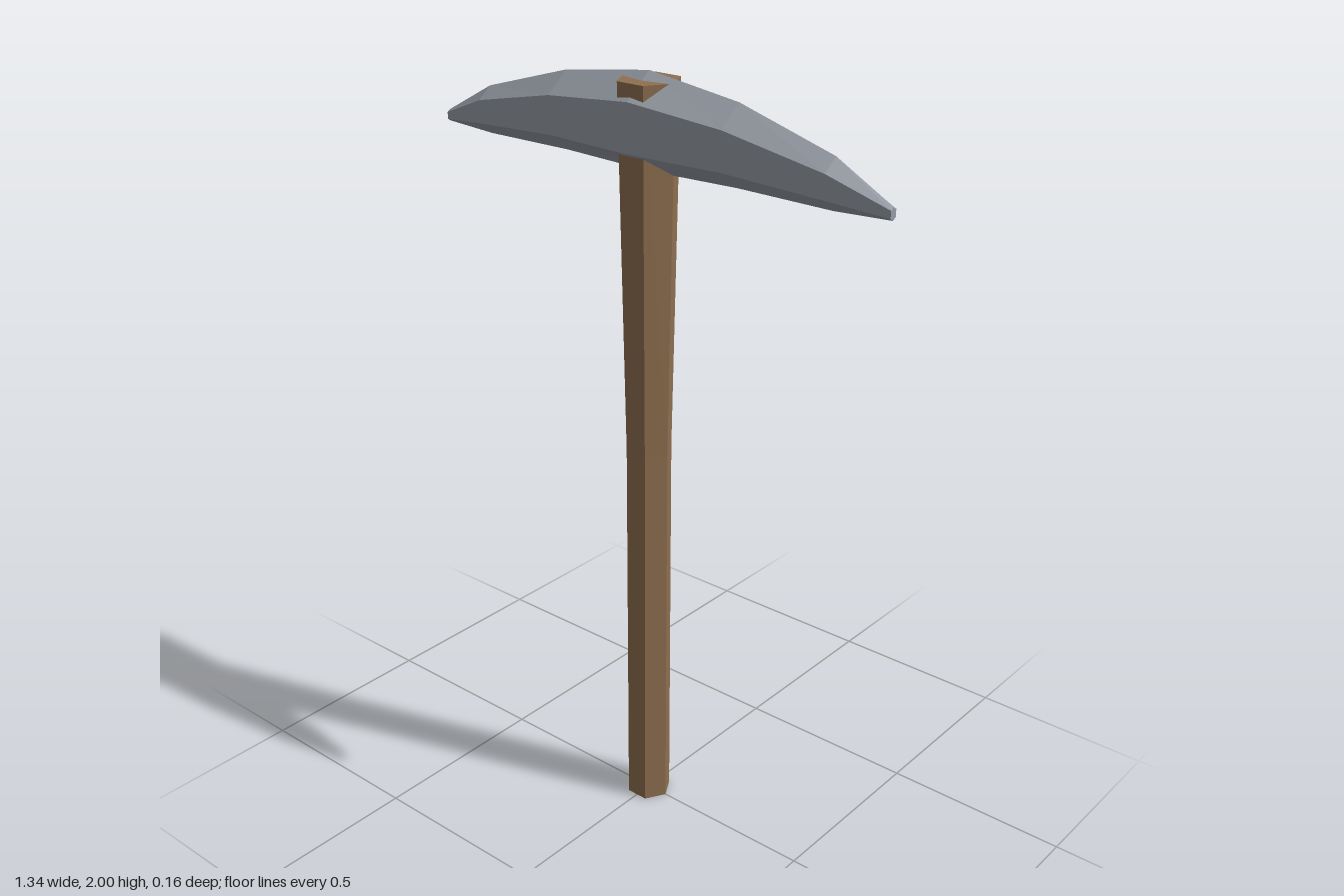
import * as THREE from 'three';

const steel = new THREE.MeshStandardMaterial({ color: 0x979ca5 });
steel.name = 'steel';
const wood = new THREE.MeshStandardMaterial({ color: 0x8f6f50 });
wood.name = 'wood';

// Unshared vertices give crisp facets
function faceted(geometry) {
  const g = geometry.index ? geometry.toNonIndexed() : geometry;
  g.computeVertexNormals();
  return g;
}

// Six-sided shaft that flares towards the top
function handleGeometry() {
  const profile = [[0, 0], [0.06, 0], [0.06, 1.05], [0.078, 1.98], [0, 1.98]];
  return faceted(new THREE.LatheGeometry(
    profile.map(([r, y]) => new THREE.Vector2(r, y)), 6, Math.PI / 2));
}

// Curved pick lofted through six-cornered sections along x
function headGeometry() {
  // x, ridge, upper shoulder, lower shoulder, keel, half width
  const half = [
    [0, 2.0, 1.94, 1.82, 1.765, 0.078],
    [0.26, 1.965, 1.915, 1.82, 1.772, 0.063],
    [0.52, 1.89, 1.86, 1.802, 1.77, 0.04],
    [0.67, 1.808, 1.802, 1.784, 1.778, 0.01],
  ];
  const mirrored = half.slice(1).reverse().map(([x, ...rest]) => [-x, ...rest]);
  const rings = [...mirrored, ...half].map(([x, top, up, low, keel, w]) => [
    [x, top, 0], [x, up, w], [x, low, w], [x, keel, 0], [x, low, -w], [x, up, -w],
  ]);
  const positions = [];
  const tri = (a, b, c) => positions.push(...a, ...b, ...c);

  for (let i = 0; i < rings.length - 1; i++) {
    for (let j = 0; j < 6; j++) {
      const k = (j + 1) % 6;
      const a = rings[i][j], b = rings[i][k];
      const c = rings[i + 1][k], d = rings[i + 1][j];
      tri(a, b, c);
      tri(a, c, d);
    }
  }
  // Blunt tips
  const first = rings[0], last = rings[rings.length - 1];
  for (let k = 1; k < 5; k++) {
    tri(first[0], first[k + 1], first[k]);
    tri(last[0], last[k], last[k + 1]);
  }
  const g = new THREE.BufferGeometry();
  g.setAttribute('position', new THREE.Float32BufferAttribute(positions, 3));
  return faceted(g);
}

export function createModel() {
  const model = new THREE.Group();
  model.name = 'pickaxe';
  const handle = new THREE.Mesh(handleGeometry(), wood);
  handle.name = 'handle';
  const head = new THREE.Mesh(headGeometry(), steel);
  head.name = 'pickHead';
  model.add(handle, head);
  return model;
}
